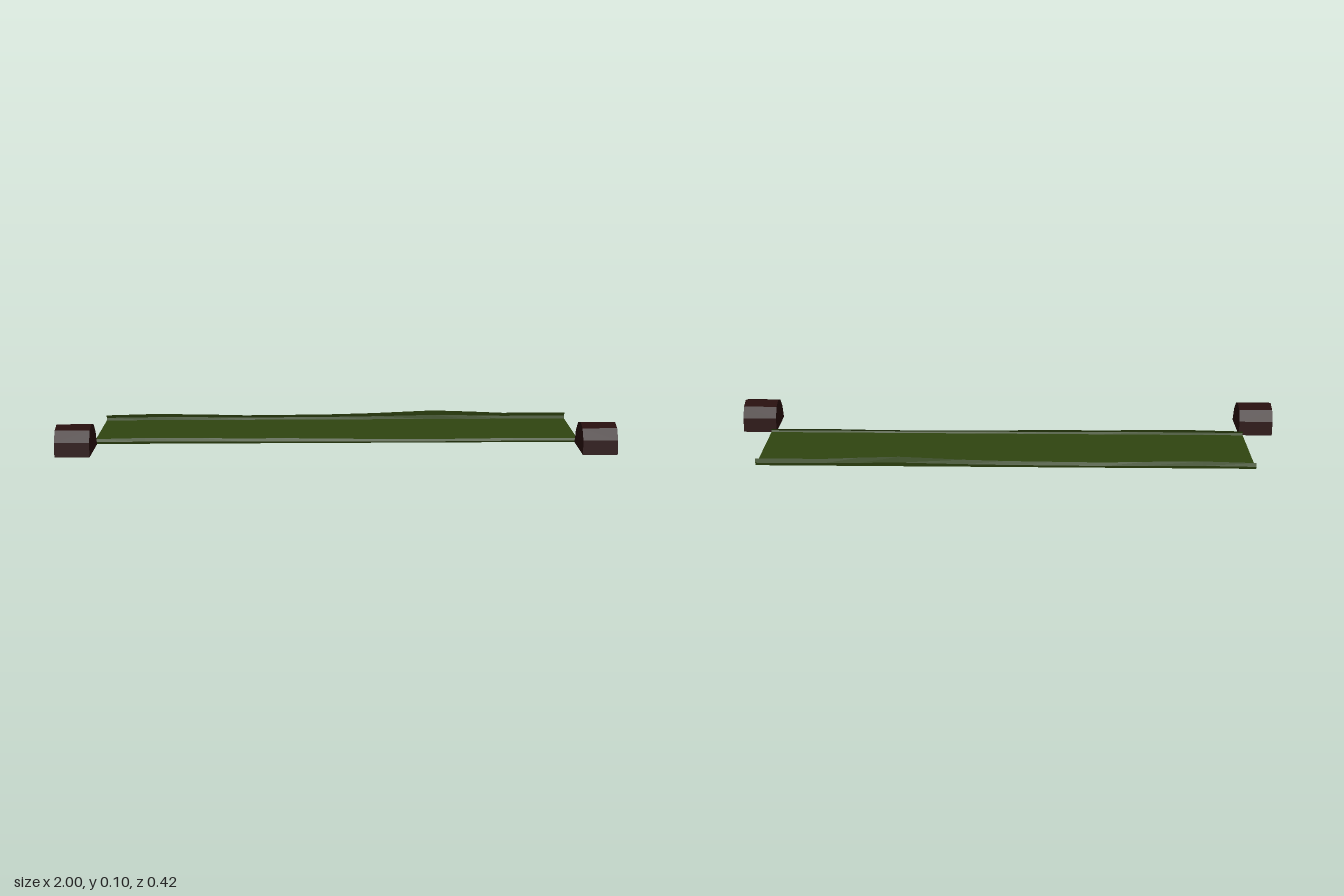
import * as THREE from 'three';

// Skin a row of open cross-sections, each given as [x, y, z] points.
function loft(sections) {
  const n = sections[0].length;
  const index = [];
  for (let i = 0; i < sections.length - 1; i++) {
    for (let j = 0; j < n - 1; j++) {
      const a = i * n + j;
      index.push(a, a + 1, a + n, a + 1, a + n + 1, a + n);
    }
  }
  const geometry = new THREE.BufferGeometry();
  geometry.setAttribute('position', new THREE.Float32BufferAttribute(sections.flat(2), 3));
  geometry.setIndex(index);
  const faceted = geometry.toNonIndexed();
  faceted.computeVertexNormals();
  return faceted;
}

function flatMaterial(name, color) {
  const material = new THREE.MeshStandardMaterial({ color, flatShading: true, side: THREE.DoubleSide });
  material.name = name;
  return material;
}

function addMesh(parent, name, geometry, material) {
  const mesh = new THREE.Mesh(geometry, material);
  mesh.name = name;
  parent.add(mesh);
}

export function createModel() {
  const model = new THREE.Group();
  const green = flatMaterial('dark green', 0x2f4410);
  const brown = flatMaterial('dark brown', 0x260d0c);

  // Upper edges of the two low walls: x, back height, front height
  const stations = [
    [-0.89, 0.022, 0.018], [-0.7, 0.027, 0.022], [-0.5, 0.024, 0.021],
    [-0.35, 0.02, 0.018], [-0.2, 0.021, 0.019], [0, 0.023, 0.016],
    [0.15, 0.027, 0.014], [0.38, 0.037, 0.013], [0.52, 0.032, 0.014],
    [0.65, 0.026, 0.016], [0.895, 0.026, 0.015],
  ];
  const zBack = -0.2, zFront = 0.075;

  // Flat tray floor
  addMesh(model, 'floor', loft([-0.89, 0.895].map((x) => [[x, 0.001, zBack], [x, 0.001, zFront]])), green);

  // Thin wavy walls, bulging slightly outwards
  const wall = (z, out, column) => loft(stations.map((s) => [
    [s[0], 0, z],
    [s[0], s[column] * 0.45, z + out * 0.004],
    [s[0], s[column], z - out * 0.002],
  ]));
  addMesh(model, 'backWall', wall(zBack, -1, 1), green);
  addMesh(model, 'frontWall', wall(zFront, 1, 2), green);

  // Arched covers: open at the bottom and outer end, closed at the inner end
  const arch = [
    [0.219, 0], [0.21, 0.052], [0.184, 0.089], [0.149, 0.101],
    [0.113, 0.089], [0.087, 0.052], [0.078, 0],
  ];
  for (const side of [1, -1]) {
    const cover = new THREE.Group();
    cover.name = side > 0 ? 'leftCover' : 'rightCover';
    const shell = loft([0.876, 1].map((x) => arch.map(([z, y]) => [side * x, y, z])));
    addMesh(cover, 'archShell', shell, brown);
    const end = new THREE.ShapeGeometry(new THREE.Shape(arch.map(([z, y]) => new THREE.Vector2(z, y))));
    end.rotateY(-Math.PI / 2).translate(side * 0.876, 0, 0);
    addMesh(cover, 'innerEnd', end, brown);
    model.add(cover);
  }
  return model;
}
